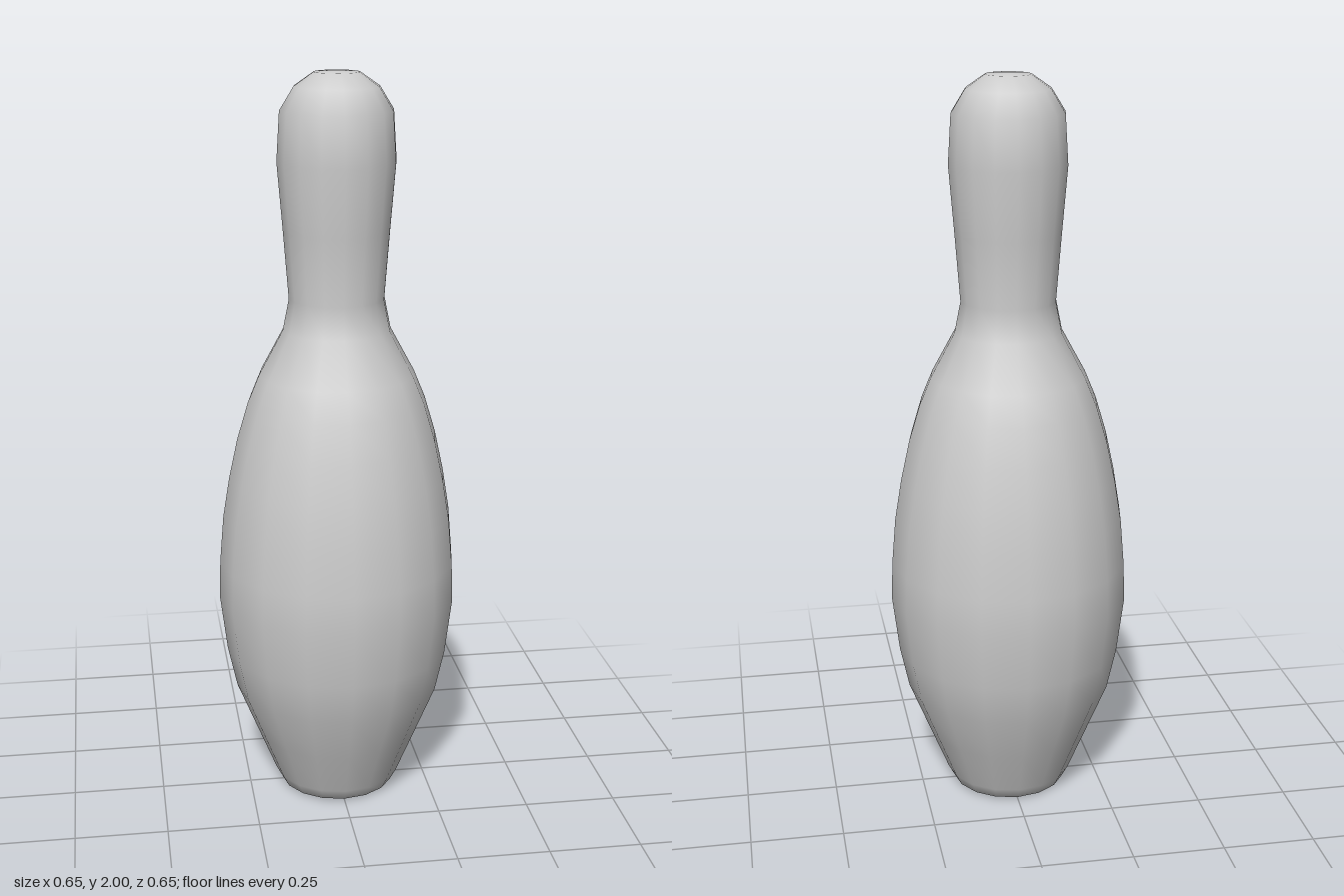
import * as THREE from 'three';

export function createModel() {
  const group = new THREE.Group();
  group.name = 'bowlingPin';

  const grey = new THREE.MeshStandardMaterial({ color: 0xcccccc });
  grey.name = 'light grey';

  // Profile as [radius, height], from the base to the crown
  const profile = [
    [0, 0], [0.13, 0], [0.158, 0.008], [0.175, 0.04], [0.228, 0.17], [0.283, 0.305],
    [0.308, 0.42], [0.327, 0.575], [0.324, 0.68], [0.313, 0.81], [0.295, 0.92],
    [0.271, 1.03], [0.241, 1.13], [0.21, 1.205], [0.145, 1.325], [0.128, 1.41],
    [0.142, 1.59], [0.157, 1.77], [0.149, 1.9], [0.112, 1.96], [0.06, 1.996], [0, 2],
  ].map(([r, y]) => new THREE.Vector2(r, y));

  // Body, neck and head turned in one piece with sixteen sides
  const pin = new THREE.Mesh(new THREE.LatheGeometry(profile, 16), grey);
  pin.name = 'pinBody';
  group.add(pin);

  return group;
}
